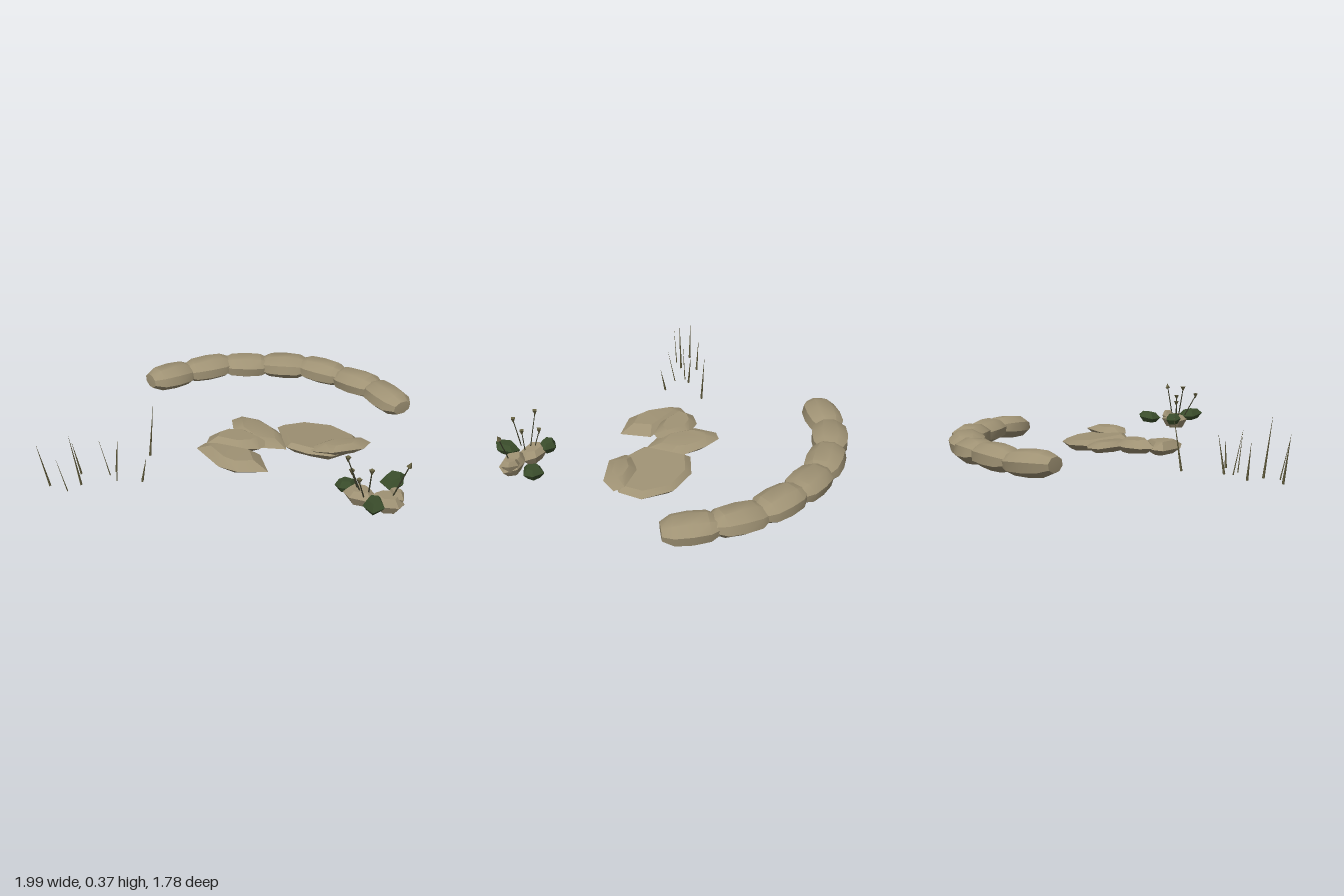
import * as THREE from 'three';
import { toCreasedNormals } from 'three/addons/utils/BufferGeometryUtils.js';
import { ConvexGeometry } from 'three/addons/geometries/ConvexGeometry.js';

const stone = new THREE.MeshStandardMaterial({ name: 'stone', color: 0x9f9274 });
const leaf = new THREE.MeshStandardMaterial({ name: 'dark leaf', color: 0x3b4e2c });
const reed = new THREE.MeshStandardMaterial({ name: 'dry reed', color: 0x6a6443, side: THREE.DoubleSide });
const stem = new THREE.MeshStandardMaterial({ name: 'dark stem', color: 0x3a3b29 });

const v = (x, y, z) => new THREE.Vector3(x, y, z);

function addMesh(parent, name, geometry, material) {
  const mesh = new THREE.Mesh(geometry, material);
  mesh.name = name;
  parent.add(mesh);
  return mesh;
}

// Faceted slab: wide outline [x, z] pairs with narrower top and bottom rings, tilted by slopes
function slab(parent, name, material, outline, y, up, down, slopeX = 0, slopeZ = 0, topScale = 0.6, lowScale = 0.6) {
  const cx = outline.reduce((s, p) => s + p[0], 0) / outline.length;
  const cz = outline.reduce((s, p) => s + p[1], 0) / outline.length;
  const points = [];
  outline.forEach(([x, z], i) => {
    const wobble = (i % 3 - 1) * 0.006;
    for (const [scale, dy] of [[1, wobble], [topScale, up], [lowScale, -down]]) {
      const dx = (x - cx) * scale, dz = (z - cz) * scale;
      points.push(v(cx + dx, y + dy + dx * slopeX + dz * slopeZ, cz + dz));
    }
  });
  return addMesh(parent, name, toCreasedNormals(new ConvexGeometry(points), 0.45), material);
}

// Tapered rod from a to b
function rod(parent, name, a, b, rTop, rBase, material, sides = 4) {
  const dir = b.clone().sub(a);
  const mesh = addMesh(parent, name, new THREE.CylinderGeometry(rTop, rBase, dir.length(), sides), material);
  mesh.position.copy(a).add(b).multiplyScalar(0.5);
  mesh.quaternion.setFromUnitVectors(v(0, 1, 0), dir.normalize());
  return mesh;
}

export function createModel() {
  const model = new THREE.Group();
  model.name = 'stone garden';

  // Curved wall of seven overlapping barrel-shaped stones
  const wall = new THREE.Group();
  wall.name = 'stoneArc';
  model.add(wall);
  const profile = [[0, -0.158], [0.066, -0.155], [0.107, -0.095], [0.116, 0], [0.107, 0.095], [0.066, 0.155], [0, 0.158]]
    .map(([r, h]) => new THREE.Vector2(r, h));
  const heights = [0.108, 0.112, 0.108, 0.114, 0.119, 0.112, 0.108];
  for (let i = 0; i < 7; i++) {
    const a = (i - 3) * 0.268;
    const geo = new THREE.LatheGeometry(profile, 8, Math.PI / 8);
    geo.rotateZ(Math.PI / 2);
    geo.rotateX((i % 3 - 1) * 0.13);
    geo.scale(1 + (i % 2) * 0.03, 0.66, 1);
    const mesh = addMesh(wall, 'arcStone', toCreasedNormals(geo, 0.65), stone);
    mesh.position.set(0.08 + Math.sin(a) * 0.975, heights[i], 0.195 - Math.cos(a) * 0.975);
    mesh.rotation.set(0, -a, (i % 2 ? 1 : -1) * 0.04);
  }

  // Flat paving slabs leaning on each other
  const slabs = new THREE.Group();
  slabs.name = 'flatStones';
  model.add(slabs);
  slab(slabs, 'largeSlab', stone, [[0.17, -0.04], [0.3, -0.14], [0.49, -0.155], [0.65, -0.05], [0.69, 0.08],
    [0.54, 0.26], [0.4, 0.25], [0.27, 0.22]], 0.062, 0.025, 0.045, -0.05, 0.1, 0.85, 0.75);
  slab(slabs, 'backSlab', stone, [[-0.11, -0.03], [-0.06, -0.085], [0.05, -0.07], [0.17, 0], [0.23, 0.07],
    [0.27, 0.22], [0.1, 0.24], [-0.07, 0.1]], 0.078, 0.028, 0.035, -0.08, 0.03);
  slab(slabs, 'middleSlab', stone, [[-0.19, 0.2], [-0.12, 0.12], [0, 0.09], [0.17, 0.18], [0.12, 0.27],
    [0, 0.31], [-0.19, 0.29]], 0.09, 0.04, 0.04, -0.04, 0.02);
  slab(slabs, 'frontSlab', stone, [[-0.235, 0.33], [-0.2, 0.27], [0, 0.28], [0.13, 0.29], [0.21, 0.46],
    [0.05, 0.52], [-0.07, 0.48]], 0.075, 0.04, 0.04, -0.06, 0);
  slab(slabs, 'sideSlab', stone, [[0.4, 0.21], [0.5, 0.1], [0.68, 0.04], [0.74, 0.07], [0.71, 0.17],
    [0.54, 0.27], [0.42, 0.25]], 0.1, 0.028, 0.035, 0.03, 0.08, 0.5);

  // Small raised clump of stones and leaf pads
  const clump = new THREE.Group();
  clump.name = 'plantClump';
  model.add(clump);
  slab(clump, 'clumpStone', stone, [[0.65, 0.67], [0.69, 0.61], [0.78, 0.61], [0.83, 0.66], [0.81, 0.73], [0.69, 0.735]],
    0.13, 0.035, 0.05, -0.1, 0);
  slab(clump, 'clumpStone', stone, [[0.78, 0.7], [0.84, 0.64], [0.92, 0.62], [0.975, 0.68], [0.95, 0.74], [0.86, 0.77]],
    0.12, 0.04, 0.05, -0.12, 0);
  slab(clump, 'cornerStone', stone, [[0.88, 0.64], [0.91, 0.62], [0.965, 0.645], [0.97, 0.7], [0.91, 0.7]], 0.145, 0.03, 0.04);
  const pads = [
    [[[0.6, 0.63], [0.645, 0.58], [0.715, 0.6], [0.7, 0.665], [0.63, 0.675]], 0.15, 0, 0.1],
    [[[0.83, 0.53], [0.88, 0.45], [0.955, 0.465], [0.955, 0.54], [0.89, 0.6]], 0.138, 0.05, -0.1],
    [[[0.765, 0.8], [0.79, 0.725], [0.85, 0.73], [0.88, 0.82], [0.825, 0.885]], 0.158, 0.1, 0.08],
  ];
  for (const [outline, y, sx, sz] of pads) slab(clump, 'leafPad', leaf, outline, y, 0.033, 0.034, sx, sz);

  // Thin stems with small pointed tips
  const stems = [
    [[0.74, 0.16, 0.69], [0.67, 0.35, 0.70]], [[0.765, 0.16, 0.74], [0.742, 0.295, 0.81]],
    [[0.785, 0.15, 0.69], [0.795, 0.28, 0.69]], [[0.91, 0.15, 0.69], [0.985, 0.345, 0.675]],
    [[0.73, 0.15, 0.67], [0.69, 0.25, 0.66]],
  ];
  stems.forEach(([a, b], i) => {
    const tip = v(...b);
    rod(clump, 'stem', v(...a), tip, 0.003, 0.004, stem);
    const up = i === 3;
    const geo = new THREE.ConeGeometry(0.016, 0.034, 4);
    if (!up) geo.rotateX(Math.PI);
    const bud = addMesh(clump, 'stemTip', geo, reed);
    bud.position.copy(tip);
    if (up) bud.rotation.z = -0.36;
  });

  // Scattered upright reeds: base x, base z, tip x, tip y, tip z
  const reeds = new THREE.Group();
  reeds.name = 'reeds';
  model.add(reeds);
  const blades = [
    [-0.955, 0.78, -0.998, 0.28, 0.80], [-0.83, 0.63, -0.865, 0.22, 0.637], [-0.84, 0.81, -0.87, 0.24, 0.85],
    [-0.79, 0.735, -0.822, 0.35, 0.768], [-0.665, 0.61, -0.7, 0.265, 0.65], [-0.645, 0.565, -0.632, 0.23, 0.535],
    [-0.61, 0.655, -0.585, 0.24, 0.69], [-0.51, 0.362, -0.488, 0.33, 0.322], [-0.47, 0.632, -0.435, 0.18, 0.64],
  ];
  blades.forEach(([x, z, tx, ty, tz], i) => {
    const thin = i === 2 || i === 4 || i === 6;
    rod(reeds, 'reed', v(x, 0.015, z), v(tx, ty, tz), 0.0005, thin ? 0.004 : 0.008, reed, 3);
  });

  return model;
}
